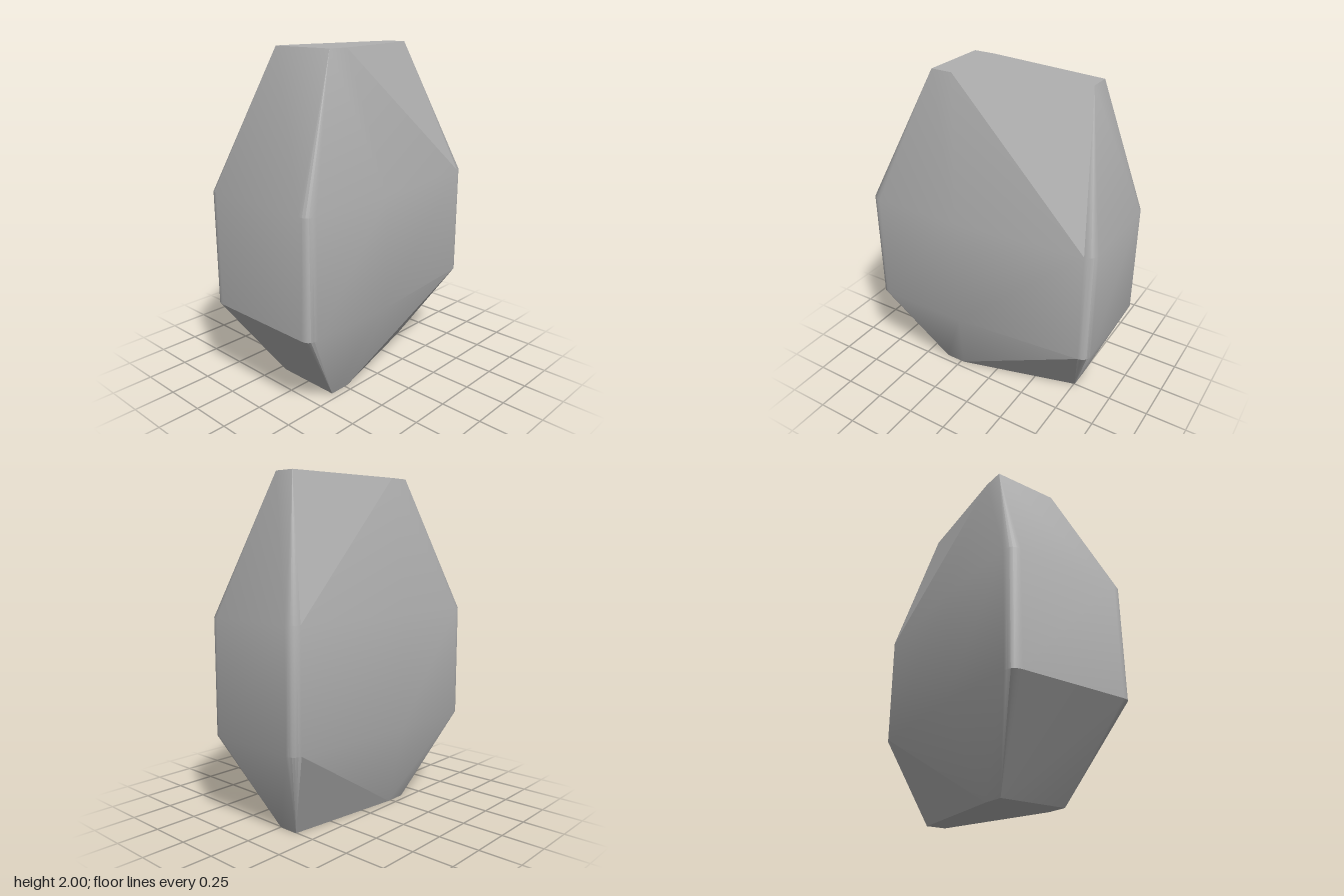
import * as THREE from 'three';
import { toCreasedNormals } from 'three/addons/utils/BufferGeometryUtils.js';

const Y_LOW = 0.53, Y_HIGH = 1.21, HEIGHT = 2;

// Outline shared by the flat top and bottom, as [x, z]
const CAP = [[-0.36, 0.205], [-0.23, 0.205], [0.505, 0], [0.505, -0.125], [-0.23, -0.21], [-0.36, -0.21]];

// Rounded corner from point a to point b around the sharp corner c
function corner(a, c, b, cap, steps = 5) {
  const curve = new THREE.QuadraticBezierCurve(new THREE.Vector2(...a), new THREE.Vector2(...c), new THREE.Vector2(...b));
  return curve.getPoints(steps).map((p) => ({ x: p.x, z: p.y, cap }));
}

// Widest outline: every point tapers to one cap point
const GIRTH = [
  ...corner([-0.72, 0.335], [-0.72, 0.397], [-0.655, 0.397], 0),
  { x: -0.11, z: 0.397, cap: 1 },
  ...corner([0.66, 0.329], [0.715, 0.323], [0.715, 0.27], 2),
  ...corner([0.715, -0.275], [0.715, -0.329], [0.66, -0.335], 3),
  { x: -0.11, z: -0.4, cap: 4 },
  ...corner([-0.655, -0.4], [-0.72, -0.4], [-0.72, -0.335], 5),
];

function geometryFrom(triangles) {
  const g = new THREE.BufferGeometry();
  g.setAttribute('position', new THREE.Float32BufferAttribute(triangles.flat(2), 3));
  g.computeVertexNormals();
  return g;
}

export function createModel() {
  const stone = new THREE.MeshStandardMaterial({ color: 0xb0b0b0 });
  stone.name = 'stone grey';
  const group = new THREE.Group();
  group.name = 'rock';
  const add = (name, geometry) => {
    const mesh = new THREE.Mesh(geometry, stone);
    mesh.name = name;
    group.add(mesh);
  };

  const walls = [], facets = [];
  const at = (p, y) => [p.x, y, p.z];
  const capAt = (i, y) => [CAP[i][0], y, CAP[i][1]];

  GIRTH.forEach((a, i) => {
    const b = GIRTH[(i + 1) % GIRTH.length];
    // Upright band round the middle
    walls.push([at(a, Y_LOW), at(b, Y_LOW), at(b, Y_HIGH)], [at(a, Y_LOW), at(b, Y_HIGH), at(a, Y_HIGH)]);
    // Tapers to the top and, mirrored, to the bottom
    for (const [y, capY, up] of [[Y_HIGH, HEIGHT, true], [Y_LOW, 0, false]]) {
      const push = (list, ...t) => list.push(up ? t : t.reverse());
      const A = at(a, y), B = at(b, y), ca = capAt(a.cap, capY), cb = capAt(b.cap, capY);
      if (a.cap === b.cap) {
        push(walls, A, B, ca);
      } else if (a.cap === 3) {
        push(walls, A, B, cb);
        push(facets, A, cb, ca);
      } else {
        push(walls, A, B, ca);
        push(a.cap === 1 ? facets : walls, B, cb, ca);
      }
    }
  });
  add('rockSides', toCreasedNormals(geometryFrom(walls), THREE.MathUtils.degToRad(30)));
  add('cutFacets', geometryFrom(facets));

  // Flat top and bottom
  const top = [], bottom = [];
  for (let i = 1; i < CAP.length - 1; i++) {
    top.push([capAt(0, HEIGHT), capAt(i, HEIGHT), capAt(i + 1, HEIGHT)]);
    bottom.push([capAt(0, 0), capAt(i + 1, 0), capAt(i, 0)]);
  }
  add('flatTop', geometryFrom(top));
  add('flatBottom', geometryFrom(bottom));
  return group;
}
